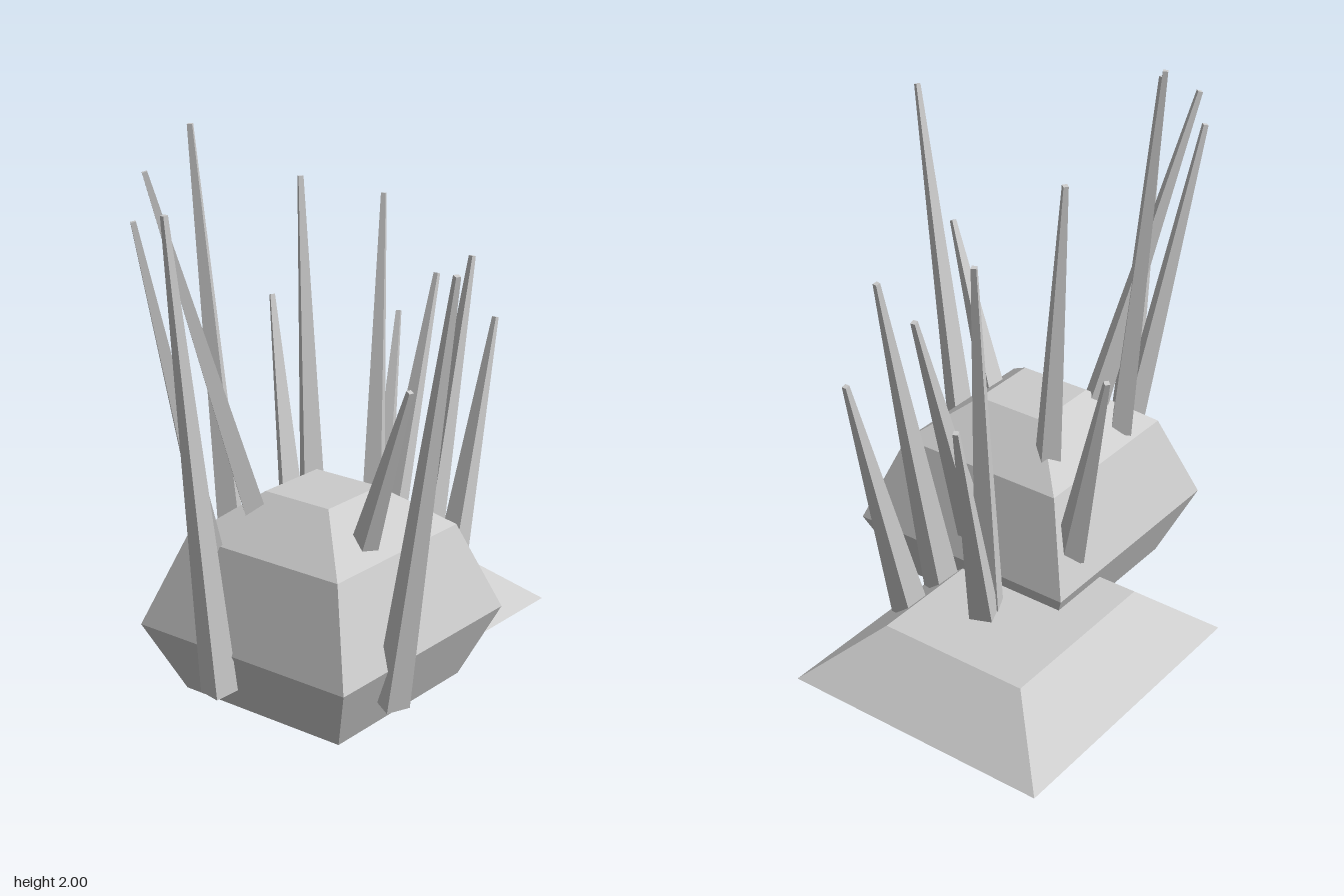
import * as THREE from 'three';

const stone = new THREE.MeshStandardMaterial({ color: 0xcccccc, flatShading: true });
stone.name = 'pale stone';

// Four-sided boulder turned from a profile of [half width, height]
function makeBoulder() {
  const profile = [[0, 0], [0.345, 0], [0.455, 0.255], [0.335, 0.58], [0.14, 0.735], [0, 0.735]];
  const points = profile.map(([half, y]) => new THREE.Vector2(half * Math.SQRT2, y));
  const boulder = new THREE.Mesh(new THREE.LatheGeometry(points, 4, Math.PI / 4), stone);
  boulder.name = 'boulder';
  boulder.position.set(-0.225, 0, 0.015);
  return boulder;
}

// Low slab: a box whose top is drawn in
function makeSlab() {
  const height = 0.195;
  const geometry = new THREE.BoxGeometry(1.145, height, 1.03);
  const p = geometry.attributes.position;
  for (let i = 0; i < p.count; i++) {
    if (p.getY(i) > 0) {
      p.setX(i, Math.sign(p.getX(i)) * 0.345);
      p.setZ(i, Math.sign(p.getZ(i)) * 0.29);
    }
  }
  geometry.computeVertexNormals();
  const slab = new THREE.Mesh(geometry, stone);
  slab.name = 'slab';
  slab.position.set(0.2925, height / 2, -0.275);
  return slab;
}

// Tapered square spike leaning from its base to its tip
function makeSpike(base, tip, width) {
  const from = new THREE.Vector3(...base);
  const to = new THREE.Vector3(...tip);
  const lean = to.clone().sub(from);
  const geometry = new THREE.CylinderGeometry(0.009 * Math.SQRT2, width / Math.SQRT2, lean.length(), 4);
  geometry.rotateY(Math.PI / 4);
  const spike = new THREE.Mesh(geometry, stone);
  spike.position.copy(from).add(to).multiplyScalar(0.5);
  spike.rotation.order = 'YXZ';
  spike.rotation.y = Math.atan2(lean.x, lean.z);
  spike.rotation.x = Math.atan2(Math.hypot(lean.x, lean.z), lean.y);
  return spike;
}

export function createModel() {
  const model = new THREE.Group();
  model.name = 'spiky rocks';
  model.add(makeBoulder(), makeSlab());

  // Base centre, tip centre, base width
  const spikes = [
    [[-0.695, 0.12, -0.06], [-0.86, 1.8, -0.09], 0.09],
    [[-0.545, 0.5, -0.2], [-0.73, 1.72, -0.355], 0.075],
    [[-0.39, 0.62, -0.135], [-0.655, 1.87, -0.37], 0.075],
    [[-0.395, 0.6, -0.265], [-0.45, 2.0, -0.355], 0.075],
    [[-0.388, 0.11, 0.445], [-0.522, 1.678, 0.78], 0.09],
    [[-0.322, 0.615, 0.275], [-0.4, 1.232, 0.52], 0.07],
    [[-0.025, 0.6, -0.195], [0.063, 1.75, -0.312], 0.075],
    [[0.075, 0.34, -0.365], [0.272, 1.222, -0.632], 0.085],
    [[0.37, 0.17, -0.21], [0.675, 1.122, -0.335], 0.085],
    [[0.315, 0.17, -0.19], [0.505, 1.62, -0.28], 0.085],
    [[0.175, 0.355, -0.01], [0.508, 1.352, -0.035], 0.08],
    [[0.245, 0.125, 0.08], [0.503, 1.442, 0.125], 0.095],
    [[0.43, 0.125, 0.08], [0.71, 1.162, 0.092], 0.095],
  ];
  const cluster = new THREE.Group();
  cluster.name = 'spikes';
  spikes.forEach(([base, tip, width], i) => {
    const spike = makeSpike(base, tip, width);
    spike.name = `spike ${i + 1}`;
    cluster.add(spike);
  });
  model.add(cluster);
  return model;
}
